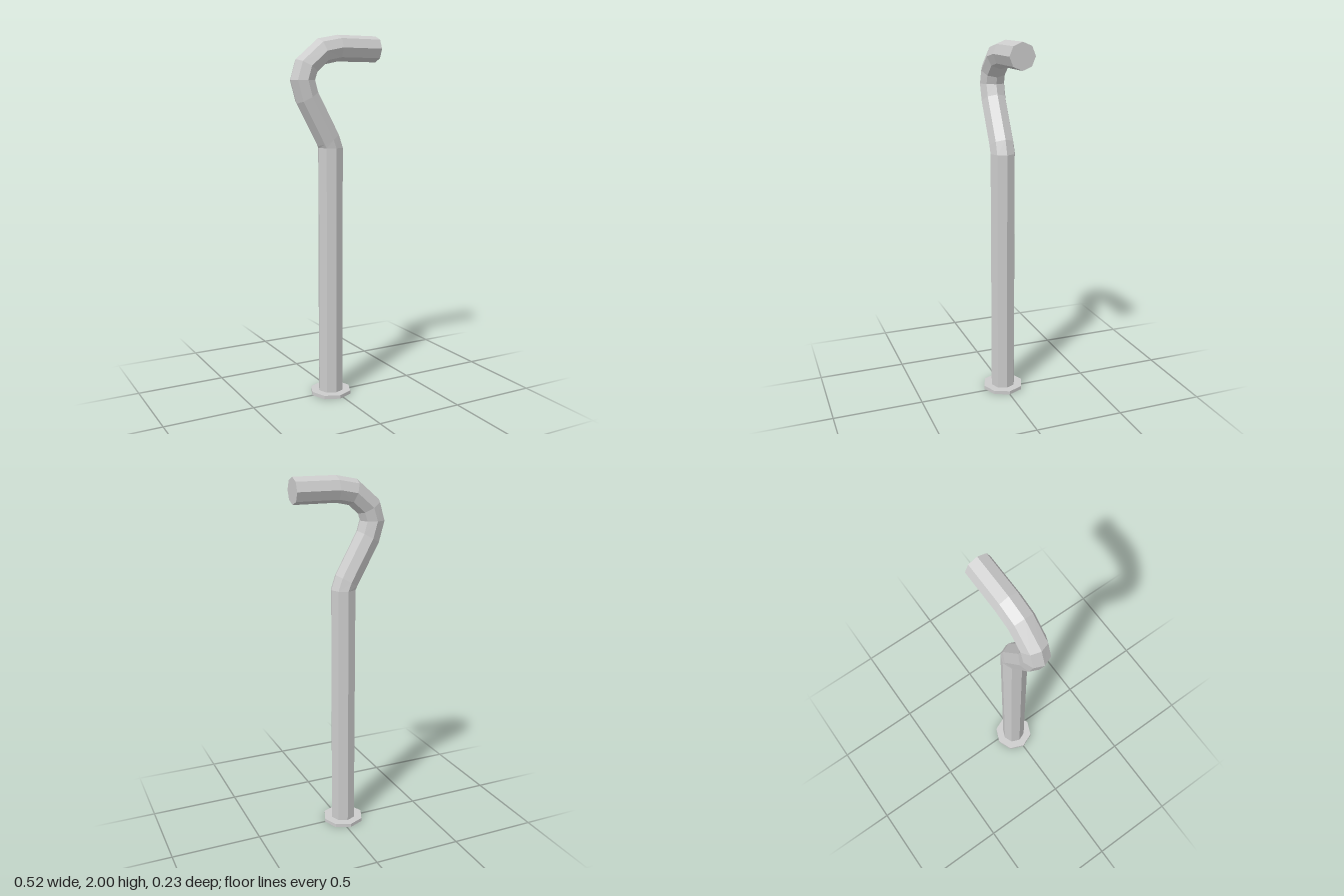
import * as THREE from 'three';

const SIDES = 8;
const RADIUS = 0.07;
const AXIS_X = -0.023;

// Pipe cross-sections from bottom to top: centre x, centre y, tilt in degrees
const RINGS = [
  [AXIS_X, 0.01, 0],
  [AXIS_X, 1.4, 0],
  [-0.04, 1.445, 30],
  [-0.165, 1.672, 30],
  [-0.19, 1.76, 0],
  [-0.168, 1.832, -30],
  [-0.076, 1.911, -71],
  [0.02, 1.93, -90],
  [0.258, 1.93, -90],
];

// Bend a straight capped cylinder so each row of vertices lands on its ring
function bentPipe() {
  const spans = RINGS.length - 1;
  const geometry = new THREE.CylinderGeometry(RADIUS, RADIUS, 1, SIDES, spans);
  const pos = geometry.attributes.position;
  for (let i = 0; i < pos.count; i++) {
    const [cx, cy, tilt] = RINGS[Math.round((pos.getY(i) + 0.5) * spans)];
    const angle = THREE.MathUtils.degToRad(tilt);
    const offset = pos.getX(i);
    pos.setXY(i, cx + offset * Math.cos(angle), cy + offset * Math.sin(angle));
  }
  geometry.computeVertexNormals();
  return geometry;
}

export function createModel() {
  const group = new THREE.Group();
  group.name = 'bentPipe';
  const material = new THREE.MeshStandardMaterial({ color: 0xcccccc, flatShading: true });

  // Upright pipe with the hooked outlet
  const pipe = new THREE.Mesh(bentPipe(), material);
  pipe.name = 'pipe';
  group.add(pipe);

  // Octagonal floor flange
  const flange = new THREE.Mesh(new THREE.CylinderGeometry(0.117, 0.117, 0.02, SIDES), material);
  flange.name = 'baseFlange';
  flange.position.set(AXIS_X, 0.01, 0);
  group.add(flange);

  return group;
}
